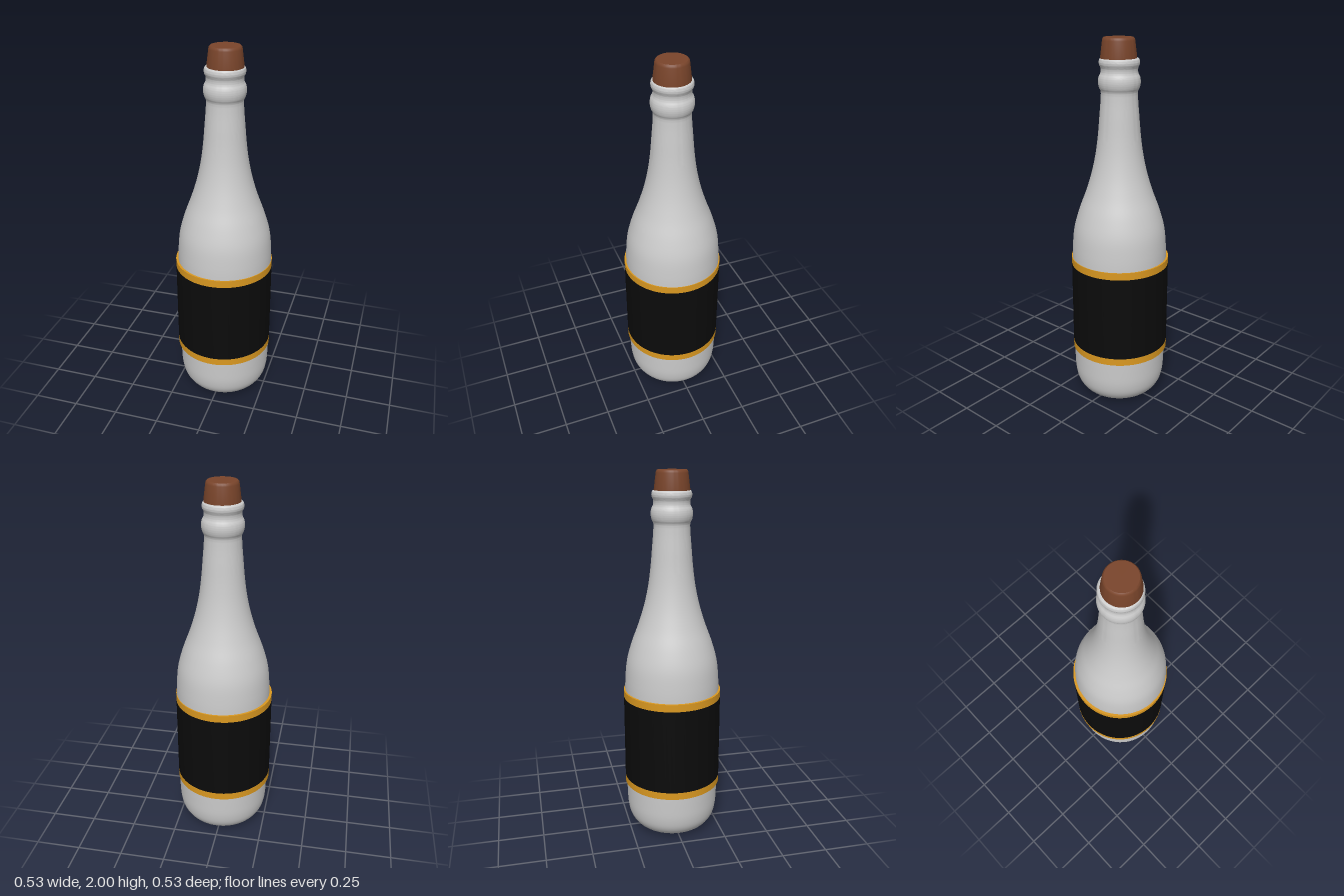
import * as THREE from 'three';
import { toCreasedNormals } from 'three/addons/utils/BufferGeometryUtils.js';

const SEGMENTS = 72;
const toPoints = (pairs) => pairs.map(([r, y]) => new THREE.Vector2(r, y));

// Smooth curve through [radius, height] pairs
function smoothProfile(pairs, count) {
  const curve = new THREE.CatmullRomCurve3(
    pairs.map(([r, y]) => new THREE.Vector3(r, y, 0)), false, 'centripetal');
  return curve.getPoints(count).map((p) => new THREE.Vector2(p.x, p.y));
}

function turned(name, points, color, x = 0, z = 0) {
  const geometry = toCreasedNormals(new THREE.LatheGeometry(points, SEGMENTS), 0.6);
  const mesh = new THREE.Mesh(geometry, new THREE.MeshStandardMaterial({ color }));
  mesh.name = name;
  mesh.position.set(x, 0, z);
  return mesh;
}

// Thin sleeve around the body
function band(name, y0, y1, color, r) {
  return turned(name, toPoints([[0.25, y0], [r, y0], [r, y1], [0.25, y1]]), color);
}

export function createModel() {
  const group = new THREE.Group();
  group.name = 'bottle';

  // Glass: flat base, rounded heel, straight body, sloping shoulder, neck with collar and lip
  const side = smoothProfile([
    [0.14, 0], [0.175, 0.012], [0.21, 0.035], [0.238, 0.075], [0.252, 0.13],
    [0.257, 0.22], [0.259, 0.4], [0.259, 0.8], [0.256, 0.9], [0.245, 1.0],
    [0.217, 1.1], [0.18, 1.2], [0.149, 1.3], [0.127, 1.4], [0.113, 1.5],
    [0.104, 1.6], [0.096, 1.7], [0.096, 1.735], [0.104, 1.752], [0.109, 1.778],
    [0.106, 1.805], [0.096, 1.828], [0.096, 1.852], [0.103, 1.867],
    [0.104, 1.884], [0.098, 1.897], [0.085, 1.9],
  ], 130);
  const glass = [new THREE.Vector2(0, 0), ...side, new THREE.Vector2(0, 1.9)];
  group.add(turned('glassBody', glass, 0xcccccc, 0.005));

  // Wrapped label with a gold trim at each edge
  group.add(band('label', 0.32, 0.793, 0x0b0b0b, 0.267));
  group.add(band('lowerTrim', 0.28, 0.32, 0xda9820, 0.267));
  group.add(band('upperTrim', 0.793, 0.833, 0xda9820, 0.267));

  // Tapered cork with a softened top edge
  const cork = toPoints([
    [0, 1.89], [0.093, 1.89], [0.093, 1.905], [0.083, 1.985],
    [0.081, 1.994], [0.075, 2.0], [0, 2.0],
  ]);
  group.add(turned('cork', cork, 0x7a452b, 0.008, 0.002));

  return group;
}
